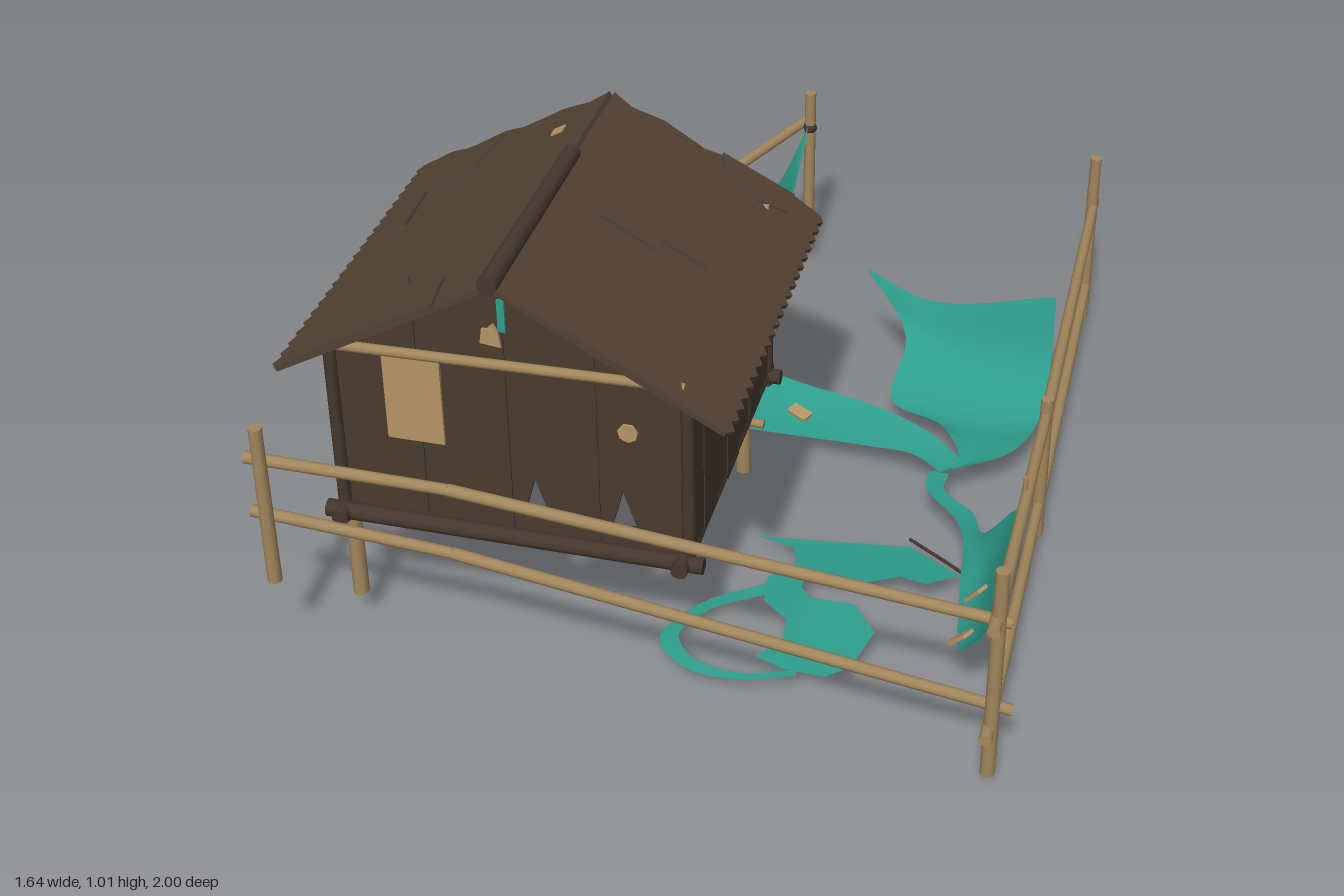
import * as THREE from 'three';

const V = (p) => new THREE.Vector3(...p);
const mat = (name, color, extra = {}) => {
  const m = new THREE.MeshStandardMaterial({ color, ...extra });
  m.name = name;
  return m;
};

export function createModel() {
  const root = new THREE.Group();
  const roofWood = mat('roofWood', 0x534134);
  const wallWood = mat('wallWood', 0x4a3a2f);
  const darkLog = mat('darkLog', 0x46372d);
  const paleWood = mat('paleWood', 0xa2865c);
  const panelTan = mat('panelTan', 0xb59467);
  const teal = mat('tealCloth', 0x2e9d8c, { side: THREE.DoubleSide });

  const add = (name, geo, material, parent = root) => {
    const m = new THREE.Mesh(geo, material);
    m.name = name;
    parent.add(m);
    return m;
  };
  const box = (name, size, pos, material) => {
    const m = add(name, new THREE.BoxGeometry(...size), material);
    m.position.set(...pos);
    return m;
  };
  // Round timber running through a list of points
  const log = (name, pts, r, material) => {
    for (let i = 0; i + 1 < pts.length; i++) {
      const a = V(pts[i]), d = V(pts[i + 1]).sub(a);
      const m = add(name, new THREE.CylinderGeometry(r * 0.92, r, d.length(), 10), material);
      m.position.copy(a).addScaledVector(d, 0.5);
      m.quaternion.setFromUnitVectors(new THREE.Vector3(0, 1, 0), d.normalize());
    }
  };
  const rope = (name, pts, r, material) =>
    add(name, new THREE.TubeGeometry(new THREE.CatmullRomCurve3(pts.map(V)), 32, r, 5), material);

  // Draped sheet through cross-sections with equal point counts
  const sheet = (name, sections) => {
    const N = sections.length * 4, M = 8, pos = [], idx = [];
    const cols = sections[0].map((_, j) => new THREE.CatmullRomCurve3(sections.map((s) => V(s[j]))));
    for (let i = 0; i <= N; i++) {
      const row = new THREE.CatmullRomCurve3(cols.map((c) => c.getPoint(i / N)));
      for (let j = 0; j <= M; j++) {
        pos.push(...row.getPoint(j / M).toArray());
        if (i < N && j < M) {
          const a = i * (M + 1) + j, b = a + M + 1;
          idx.push(a, b, a + 1, b, b + 1, a + 1);
        }
      }
    }
    const g = new THREE.BufferGeometry();
    g.setAttribute('position', new THREE.Float32BufferAttribute(pos, 3));
    g.setIndex(idx);
    g.computeVertexNormals();
    add(name, g, teal);
  };

  // --- Roof: plates given as (distance down slope, z) outlines ---
  const RX = -0.27, RY = 0.968, ANG = 0.513;
  const slopePlate = (name, side, pts, lift, depth, material = roofWood) => {
    const pivot = new THREE.Group();
    pivot.position.set(RX, RY, 0);
    pivot.rotation.set(0, side < 0 ? Math.PI : 0, -ANG);
    root.add(pivot);
    const shape = new THREE.Shape(pts.map(([s, z]) => new THREE.Vector2(s, -side * z)));
    const m = add(name, new THREE.ExtrudeGeometry(shape, { depth, bevelEnabled: false }), material, pivot);
    m.rotation.x = -Math.PI / 2;
    m.position.y = lift;
  };
  for (const side of [1, -1]) {
    const pts = [[0, 0.89]];
    for (let i = 0; i <= 44; i++) pts.push([0.544 + (i % 2 ? 0.012 : -0.002), 0.89 - i * 0.0198]);
    pts.push([0.46, 0.005], [0.4, 0.03], [0.3, 0.015], [0.24, 0.04], [0.13, 0.03], [0.05, 0.055], [0, 0.04]);
    slopePlate('roofSlope', side, pts, 0, 0.012);
  }
  slopePlate('roofPatch', 1, [[0.11, 0.49], [0.25, 0.49], [0.25, 0.45], [0.37, 0.45], [0.37, 0.37], [0.23, 0.37], [0.23, 0.4], [0.11, 0.4]], 0.012, 0.009);
  slopePlate('roofPatch', 1, [[0.16, 0.89], [0.18, 0.8], [0.24, 0.75], [0.3, 0.71], [0.38, 0.7], [0.42, 0.75], [0.41, 0.82], [0.44, 0.89]], 0.012, 0.006);
  slopePlate('roofPatch', 1, [[0.28, 0.02], [0.47, 0.01], [0.47, 0.09], [0.4, 0.11], [0.3, 0.08]], 0.012, 0.006);
  slopePlate('roofPatch', -1, [[0.13, 0.89], [0.15, 0.77], [0.25, 0.74], [0.28, 0.69], [0.38, 0.7], [0.42, 0.77], [0.48, 0.8], [0.49, 0.89]], 0.012, 0.006);
  slopePlate('roofPatch', -1, [[0.28, 0.05], [0.5, 0.04], [0.52, 0.3], [0.47, 0.42], [0.43, 0.38], [0.44, 0.22], [0.32, 0.18]], 0.012, 0.006);
  slopePlate('roofPatchSpot', -1, [[0.08, 0.15], [0.11, 0.15], [0.11, 0.18], [0.08, 0.18]], 0.012, 0.004, panelTan);
  log('ridgeLog', [[RX, 0.985, 0.9], [RX, 0.985, 0.34]], 0.021, darkLog);

  // --- Walls made of planks, the front ones broken through in places ---
  const X0 = -0.655, X1 = 0.11, Z0 = 0.12, Z1 = 0.82;
  const roofAt = (x) => RY - 0.008 - Math.abs(x - RX) * Math.tan(ANG);
  const n = 8, w = (X1 - X0) / n;
  for (const front of [true, false]) {
    for (let i = 0; i < n; i++) {
      const a = X0 + i * w, b = a + w, y0 = 0.315 + (i % 3) * 0.007;
      const pts = [[a, y0], [b, y0 + 0.004], [b, roofAt(b)]];
      if (a < RX && b > RX) pts.push([RX, roofAt(RX)]);
      pts.push([a, roofAt(a)]);
      const shape = new THREE.Shape(pts.map((p) => new THREE.Vector2(...p)));
      if (front && (i === 4 || i === 6)) {
        shape.holes.push(new THREE.Path([[a + 0.02, 0.36], [a + 0.05, 0.47], [a + 0.08, 0.38]].map((p) => new THREE.Vector2(...p))));
      }
      const g = new THREE.ExtrudeGeometry(shape, { depth: 0.012 + (i % 2) * 0.003, bevelEnabled: false });
      add('gablePlank', g, wallWood).position.z = front ? Z1 - 0.014 : Z0 - (i % 2) * 0.003;
    }
  }
  for (const x of [X0, X1]) {
    for (let i = 0; i < 7; i++) {
      box('sidePlank', [0.012 + (i % 2) * 0.004, 0.435, 0.1], [x, 0.53 + (i % 3) * 0.004, Z0 + 0.05 + i * 0.1], wallWood);
    }
    for (const z of [Z0, Z1]) log('cornerPost', [[x, 0.3, z], [x, 0.75, z]], 0.015, darkLog);
  }

  // Floor frame, tie beams and stilts
  for (const z of [Z0, Z1 + 0.015]) {
    log('floorBeam', [[-0.69, 0.322, z], [0.145, 0.322, z]], 0.02, darkLog);
  }
  for (const x of [-0.65, 0.1]) log('floorBeam', [[x, 0.325, 0.08], [x, 0.325, 0.87]], 0.02, darkLog);
  for (const z of [Z1 + 0.014, Z0 - 0.014]) log('tieBeam', [[-0.64, 0.75, z], [0.11, 0.765, z]], 0.012, paleWood);
  for (const [x, z] of [[-0.65, 0.8], [-0.61, 0.16], [0.065, 0.16]]) {
    log('stilt', [[x, 0.07, z], [x, 0.32, z]], 0.018, paleWood);
  }
  log('stiltBrace', [[-0.69, 0.225, 0.14], [0.11, 0.195, 0.14]], 0.012, paleWood);

  // --- Window panels and weathered spots ---
  const zf = Z1 + 0.004, zb = Z0 - 0.006;
  box('frontWindow', [0.125, 0.21, 0.008], [-0.475, 0.635, zf], panelTan);
  box('backWindow', [0.125, 0.22, 0.008], [-0.33, 0.62, zb], panelTan);
  box('sideWindow', [0.008, 0.21, 0.125], [X1 + 0.009, 0.6, 0.472], panelTan);
  const gableSpot = new THREE.Shape([[-0.32, 0.8], [-0.275, 0.795], [-0.28, 0.83], [-0.29, 0.85], [-0.305, 0.835], [-0.315, 0.835]].map((p) => new THREE.Vector2(...p)));
  add('gableSpot', new THREE.ExtrudeGeometry(gableSpot, { depth: 0.006, bevelEnabled: false }), panelTan).position.z = zf - 0.002;
  box('gableClothSlit', [0.016, 0.075, 0.006], [-0.272, 0.87, zf], teal);
  const knot = add('wallSpot', new THREE.CylinderGeometry(0.022, 0.022, 0.006, 7), panelTan);
  knot.rotation.x = Math.PI / 2;
  knot.position.set(-0.015, 0.627, zf);

  // --- Fences ---
  const post = (x, z, y0, y1, r = 0.016) => log('fencePost', [[x, y0, z], [x, y1, z]], r, paleWood);
  const rail = (pts) => log('fenceRail', pts, 0.014, paleWood);
  post(-0.775, 0.955, 0.2, 0.6);
  post(0.775, 0.955, 0, 0.53);
  post(0.77, 0.17, 0.02, 0.4);
  post(0.765, -0.79, 0.02, 0.5);
  post(0.765, 0.5, 0.28, 0.42, 0.006);
  post(-0.02, -0.95, 0.02, 0.51);
  post(-0.27, -0.46, 0.02, 0.43, 0.012);
  rail([[-0.82, 0.5, 0.93], [-0.37, 0.5, 0.935], [0.8, 0.395, 0.945]]);
  rail([[-0.82, 0.36, 0.93], [-0.37, 0.335, 0.935], [0.815, 0.17, 0.945]]);
  rail([[0.77, 0.41, 1], [0.77, 0.355, 0.17], [0.768, 0.355, -0.83]]);
  rail([[0.77, 0.125, 1], [0.77, 0.105, 0.17], [0.768, 0.115, -0.83]]);
  rail([[-0.03, 0.41, -0.995], [-0.38, 0.375, -0.22]]);
  rail([[-0.03, 0.13, -0.99], [-0.38, 0.25, -0.22]]);
  for (const p of [[0.775, 0.395, 0.945], [-0.02, 0.405, -0.95], [-0.65, 0.318, 0.85]]) {
    add('lashing', new THREE.SphereGeometry(0.019, 8, 6), darkLog).position.set(...p);
  }

  // --- Torn cloth: hammock with long tail, and the strip along the back fence ---
  sheet('hammockCloth', [
    [[-0.45, 0.36, -0.04], [-0.4, 0.32, -0.14], [-0.33, 0.31, -0.26]],
    [[-0.36, 0.19, -0.03], [-0.31, 0.14, -0.2], [-0.24, 0.28, -0.46]],
    [[-0.24, 0.06, -0.03], [-0.2, 0.06, -0.2], [-0.19, 0.09, -0.42]],
    [[0.05, 0.05, -0.03], [0.05, 0.06, -0.12], [0.04, 0.1, -0.22]],
    [[0.35, 0.08, 0.01], [0.35, 0.09, -0.05], [0.35, 0.11, -0.11]],
    [[0.45, 0.09, 0.03], [0.47, 0.1, 0], [0.49, 0.11, -0.03]],
    [[0.53, 0.1, 0.1], [0.55, 0.1, 0.07], [0.57, 0.1, 0.04]],
  ]);
  sheet('fenceStripCloth', [
    [[-0.02, 0.42, -0.92], [-0.02, 0.39, -0.9]],
    [[-0.08, 0.3, -0.78], [-0.06, 0.16, -0.77]],
    [[-0.16, 0.32, -0.63], [-0.12, 0.07, -0.6]],
    [[-0.24, 0.28, -0.46], [-0.19, 0.05, -0.42]],
    [[-0.33, 0.31, -0.26], [-0.24, 0.07, -0.26]],
  ]);
  sheet('rightBackCloth', [
    [[0.24, 0.3, -0.44], [0.42, 0.255, -0.395], [0.73, 0.35, -0.34]],
    [[0.36, 0.17, -0.36], [0.52, 0.14, -0.31], [0.735, 0.18, -0.28]],
    [[0.36, 0.09, -0.18], [0.53, 0.08, -0.17], [0.73, 0.1, -0.19]],
    [[0.5, 0.09, -0.1], [0.58, 0.085, -0.05], [0.68, 0.1, -0.02]],
    [[0.56, 0.09, 0.03], [0.58, 0.09, 0.04], [0.6, 0.1, 0.05]],
    [[0.5, 0.1, 0.11], [0.52, 0.1, 0.1], [0.54, 0.1, 0.09]],
  ]);
  sheet('rightFrontCloth', [
    [[0.5, 0.1, 0.1], [0.53, 0.1, 0.1], [0.55, 0.1, 0.1]],
    [[0.51, 0.105, 0.18], [0.53, 0.105, 0.17], [0.55, 0.105, 0.17]],
    [[0.59, 0.115, 0.28], [0.61, 0.115, 0.27], [0.63, 0.12, 0.26]],
    [[0.63, 0.14, 0.4], [0.65, 0.145, 0.39], [0.67, 0.16, 0.38]],
    [[0.64, 0.15, 0.5], [0.69, 0.18, 0.48], [0.755, 0.3, 0.45]],
    [[0.66, 0.16, 0.66], [0.7, 0.19, 0.66], [0.745, 0.28, 0.66]],
    [[0.68, 0.18, 0.8], [0.72, 0.23, 0.8], [0.765, 0.33, 0.79]],
    [[0.73, 0.27, 0.87], [0.75, 0.32, 0.88], [0.77, 0.38, 0.89]],
  ]);

  // Ragged cloth lying low beside the house, with a torn loop
  const ragged = new THREE.Shape([[0.15, 0.36], [0.5, 0.34], [0.63, 0.43], [0.56, 0.48], [0.5, 0.46], [0.43, 0.5], [0.3, 0.5],
    [0.29, 0.54], [0.32, 0.575], [0.42, 0.58], [0.48, 0.66], [0.45, 0.77], [0.4, 0.81], [0.31, 0.8], [0.24, 0.77], [0.29, 0.71],
    [0.28, 0.65], [0.22, 0.6], [0.21, 0.52], [0.26, 0.45], [0.24, 0.39]].map(([x, z]) => new THREE.Vector2(x, -z)));
  const rg = new THREE.ShapeGeometry(ragged).rotateX(-Math.PI / 2);
  const rp = rg.attributes.position;
  for (let i = 0; i < rp.count; i++) rp.setY(i, 0.035 + 0.06 * rp.getX(i) + 0.008 * Math.sin(rp.getZ(i) * 14));
  rg.computeVertexNormals();
  add('groundCloth', rg, teal);
  sheet('clothLoop', [
    [[0.34, 0.05, 0.82], [0.34, 0.05, 0.8]],
    [[0.22, 0.04, 0.85], [0.22, 0.042, 0.83]],
    [[0.1, 0.03, 0.83], [0.11, 0.035, 0.8]],
    [[0.02, 0.03, 0.75], [0.06, 0.035, 0.73]],
    [[0.08, 0.035, 0.62], [0.11, 0.04, 0.64]],
    [[0.22, 0.05, 0.53], [0.24, 0.05, 0.56]],
  ]);
  rope('clothCord', [[0.5, 0.08, 0.34], [0.64, 0.075, 0.43], [0.72, 0.07, 0.5]], 0.004, darkLog);
  rope('hangingVine', [[-0.6, 0.23, 0.13], [-0.55, 0.24, 0.1], [-0.53, 0.17, 0.07], [-0.49, 0.15, 0.1], [-0.46, 0.18, 0.06], [-0.4, 0.21, 0.1]], 0.005, darkLog);

  // Mended spots on the cloth
  for (const [x, y, z, rx, rz] of [[-0.11, 0.082, -0.28, 0, 0], [0.15, 0.085, -0.08, 0.2, 0], [0.69, 0.194, 0.63, 0, 0.9], [0.68, 0.188, 0.77, 0, 0.8]]) {
    const m = box('clothMend', [0.055, 0.008, 0.032], [x, y, z], panelTan);
    m.rotation.set(rx, -0.5, rz);
  }

  // --- Loose board with a cloth spot on both faces ---
  const board = new THREE.Shape([[-0.8, 0.7], [-0.62, 0.71], [-0.62, 0.9], [-0.77, 0.91], [-0.77, 0.84], [-0.8, 0.83]].map((p) => new THREE.Vector2(...p)));
  const bm = add('looseBoard', new THREE.ExtrudeGeometry(board, { depth: 0.005, bevelEnabled: false }), panelTan);
  bm.rotation.x = -Math.PI / 2;
  bm.position.y = 0.15;
  const spot = add('boardSpot', new THREE.CylinderGeometry(0.047, 0.047, 0.009, 9), teal);
  spot.position.set(-0.69, 0.1525, -0.805);

  return root;
}
